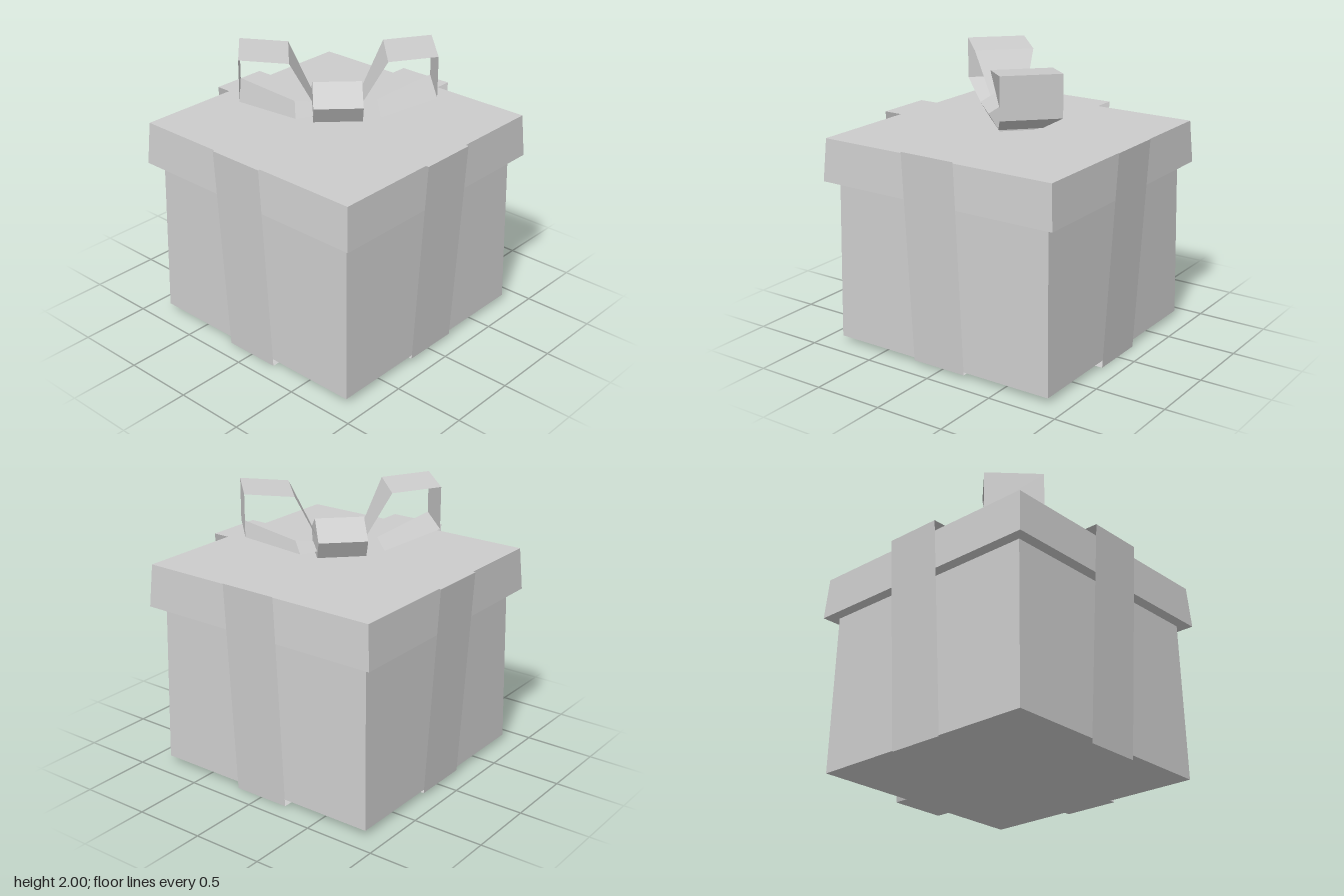
import * as THREE from 'three';

// Four-sided tapered box standing between two heights
function taperedBox(name, bottomHalf, topHalf, y0, y1, material) {
  const g = new THREE.CylinderGeometry(topHalf * Math.SQRT2, bottomHalf * Math.SQRT2, y1 - y0, 4);
  g.rotateY(Math.PI / 4);
  const mesh = new THREE.Mesh(g, material);
  mesh.name = name;
  mesh.position.y = (y0 + y1) / 2;
  return mesh;
}

// Thin band along counter-clockwise points [x, y, halfWidth], spread across z
function band(name, points, closed, angle, material) {
  const pos = [];
  const count = closed ? points.length : points.length - 1;
  for (let i = 0; i < count; i++) {
    const [px, py, pw] = points[i];
    const [qx, qy, qw] = points[(i + 1) % points.length];
    pos.push(px, py, pw, px, py, -pw, qx, qy, -qw);
    pos.push(px, py, pw, qx, qy, -qw, qx, qy, qw);
  }
  const g = new THREE.BufferGeometry();
  g.setAttribute('position', new THREE.Float32BufferAttribute(pos, 3));
  g.computeVertexNormals();
  const mesh = new THREE.Mesh(g, material);
  mesh.name = name;
  mesh.rotation.y = angle;
  return mesh;
}

export function createModel() {
  const group = new THREE.Group();
  group.name = 'giftBox';
  const grey = new THREE.MeshStandardMaterial({ color: 0xcccccc, flatShading: true, side: THREE.DoubleSide });
  grey.name = 'light grey';

  // Box and lid
  group.add(taperedBox('box', 0.857, 0.838, 0.04, 1.2, grey));
  group.add(taperedBox('lid', 0.917, 0.897, 1.18, 1.48, grey));

  // Two ribbons wrapped all the way round
  const ribbon = (y0, y1) => [[-0.87, y0, 0.206], [0.87, y0, 0.206], [0.957, y1, 0.206], [-0.957, y1, 0.206]];
  group.add(band('sideRibbon', ribbon(0, 1.512), true, 0, grey));
  group.add(band('frontRibbon', ribbon(0.027, 1.51), true, Math.PI / 2, grey));

  // Five-sided knot lying along the diagonal
  const outline = new THREE.Shape([
    [-0.12, 1.514], [0.12, 1.514], [0.195, 1.64], [0, 1.755], [-0.195, 1.64],
  ].map(([x, y]) => new THREE.Vector2(x, y)));
  const knotGeometry = new THREE.ExtrudeGeometry(outline, { depth: 0.334, bevelEnabled: false });
  knotGeometry.translate(0, 0, -0.167);
  const knot = new THREE.Mesh(knotGeometry, grey);
  knot.name = 'bowKnot';
  knot.rotation.y = Math.PI / 4;
  group.add(knot);

  // Two opposite bow loops
  const loop = [
    [0.165, 1.56, 0.115], [0.285, 1.555, 0.15], [0.65, 1.71, 0.205],
    [0.65, 2.0, 0.205], [0.322, 1.97, 0.207], [0.165, 1.65, 0.115],
  ];
  group.add(band('leftBowLoop', loop, false, -Math.PI / 4, grey));
  group.add(band('rightBowLoop', loop, false, Math.PI * 0.75, grey));

  return group;
}
